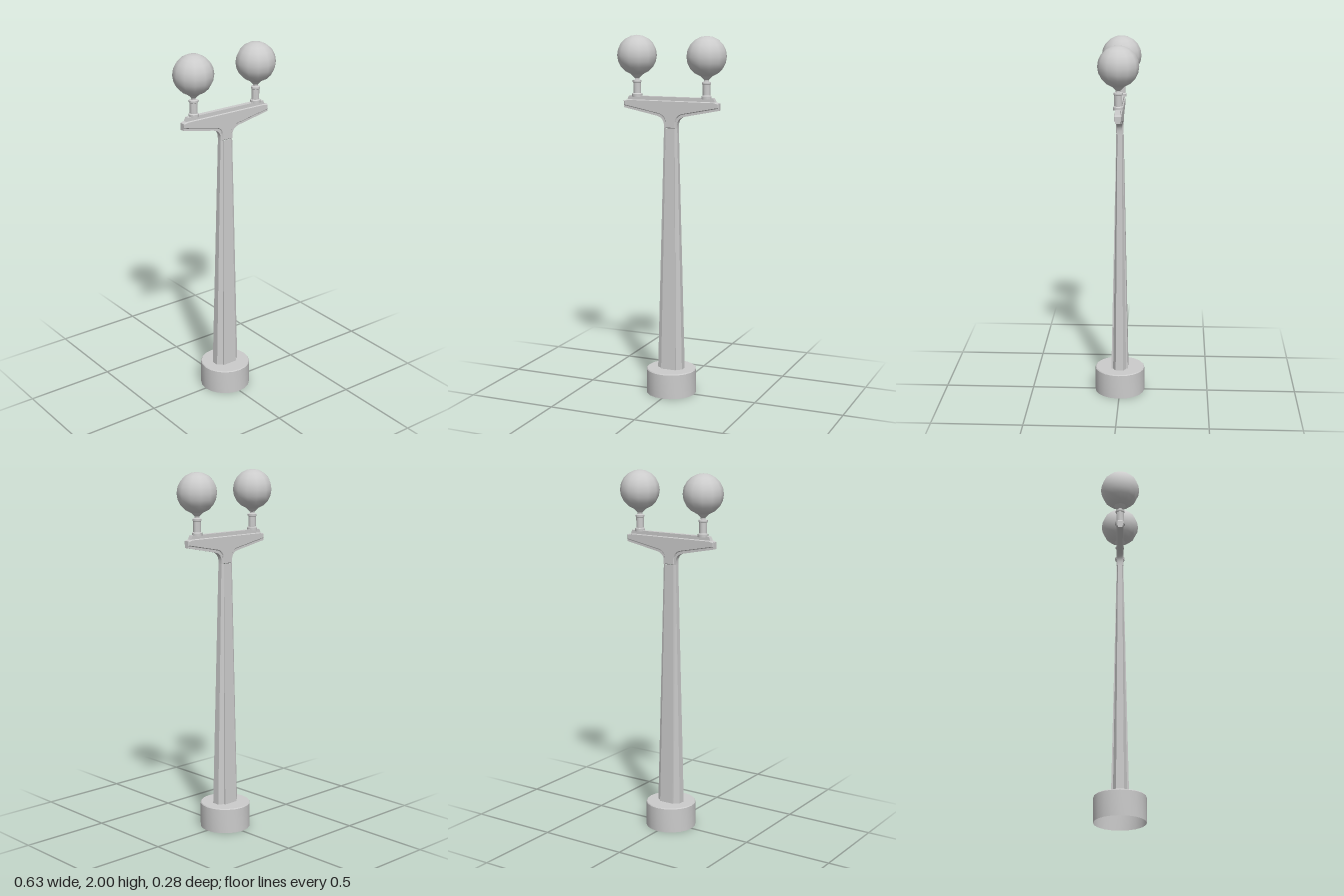
import * as THREE from 'three';
import { toCreasedNormals } from 'three/addons/utils/BufferGeometryUtils.js';

const grey = new THREE.MeshStandardMaterial({ color: 0xcccccc });
const greyDouble = new THREE.MeshStandardMaterial({ color: 0xcccccc, side: THREE.DoubleSide });

function part(name, geometry, material = grey) {
  const mesh = new THREE.Mesh(geometry, material);
  mesh.name = name;
  return mesh;
}

// Turned part with crisp rims
function turned(profile, segments) {
  const points = profile.map(([r, y]) => new THREE.Vector2(r, y));
  return toCreasedNormals(new THREE.LatheGeometry(points, segments), 0.6);
}

// Cross-shaped post section: flat front and back faces with tapered wings at the sides
function postSection({ y, face, wing, zFace, zRoot, zTip }) {
  const quarter = [[wing, zTip], [face, zRoot], [face, zFace]];
  const back = (list) => [...list].reverse();
  const half = [...quarter, ...back(quarter).map(([x, z]) => [-x, z])];
  return [...half, ...back(half).map(([x, z]) => [x, -z])].map(([x, z]) => [x, y, z]);
}

function loft(low, high) {
  const pos = [];
  low.forEach((a, i) => {
    const j = (i + 1) % low.length;
    pos.push(...a, ...high[i], ...low[j], ...low[j], ...high[i], ...high[j]);
  });
  const geometry = new THREE.BufferGeometry();
  geometry.setAttribute('position', new THREE.Float32BufferAttribute(pos, 3));
  geometry.computeVertexNormals();
  return geometry;
}

// Mirrored T-head outline, extruded evenly to both sides of z = 0
function headLayer(neck, rise, end, topSteps, halfDepth, bevel) {
  const s = new THREE.Shape();
  s.moveTo(-neck, 1.5);
  s.lineTo(neck, 1.5);
  s.lineTo(neck, 1.52 + rise);
  s.quadraticCurveTo(neck + 0.003, 1.558 + rise, neck + 0.045, 1.566 + rise);
  s.lineTo(end, 1.605 + rise);
  topSteps.forEach(([x, y]) => s.lineTo(x, y));
  [...topSteps].reverse().forEach(([x, y]) => s.lineTo(-x, y));
  s.lineTo(-end, 1.605 + rise);
  s.lineTo(-neck - 0.045, 1.566 + rise);
  s.quadraticCurveTo(-neck - 0.003, 1.558 + rise, -neck, 1.52 + rise);
  const g = new THREE.ExtrudeGeometry(s, {
    depth: 2 * (halfDepth - bevel), curveSegments: 5, bevelEnabled: bevel > 0,
    bevelThickness: bevel, bevelSize: bevel, bevelOffset: -bevel, bevelSegments: 1,
  });
  g.translate(0, 0, bevel - halfDepth);
  return toCreasedNormals(g, 0.5);
}

function createLamp(side) {
  const lamp = new THREE.Group();
  lamp.name = side > 0 ? 'leftLamp' : 'rightLamp';
  lamp.position.x = side * 0.204;
  // Socket with a foot, a collar and a flared cup below the globe
  lamp.add(part('socket', turned([
    [0, 1.665], [0.028, 1.665], [0.028, 1.681], [0.021, 1.685], [0.021, 1.742],
    [0.025, 1.745], [0.025, 1.755], [0.013, 1.759], [0.013, 1.767], [0.034, 1.788], [0, 1.788],
  ], 12)));
  const globe = part('globe', new THREE.SphereGeometry(0.109, 12, 10));
  globe.position.y = 1.891;
  lamp.add(globe);
  return lamp;
}

export function createModel() {
  const model = new THREE.Group();
  model.name = 'twinStreetLamp';

  // Drum footing, open underneath
  model.add(part('footing', turned([
    [0.14, 0], [0.14, 0.137], [0.136, 0.142], [0, 0.142],
  ], 20), greyDouble));

  // Tapered post
  model.add(part('post', loft(
    postSection({ y: 0.14, face: 0.043, wing: 0.073, zFace: 0.047, zRoot: 0.037, zTip: 0.021 }),
    postSection({ y: 1.5, face: 0.026, wing: 0.039, zFace: 0.019, zRoot: 0.017, zTip: 0.012 }),
  )));

  // T-shaped head: thin outer web with a thicker inset panel
  const head = new THREE.Group();
  head.name = 'crossArm';
  head.add(part('web', headLayer(0.039, 0, 0.28,
    [[0.28, 1.643], [0.258, 1.648], [0.248, 1.67]], 0.013, 0)));
  head.add(part('panel', headLayer(0.03, 0.012, 0.278,
    [[0.278, 1.643], [0.252, 1.65]], 0.019, 0.004)));
  model.add(head);

  // Globes on both ends of the arm
  for (const side of [-1, 1]) model.add(createLamp(side));
  return model;
}
